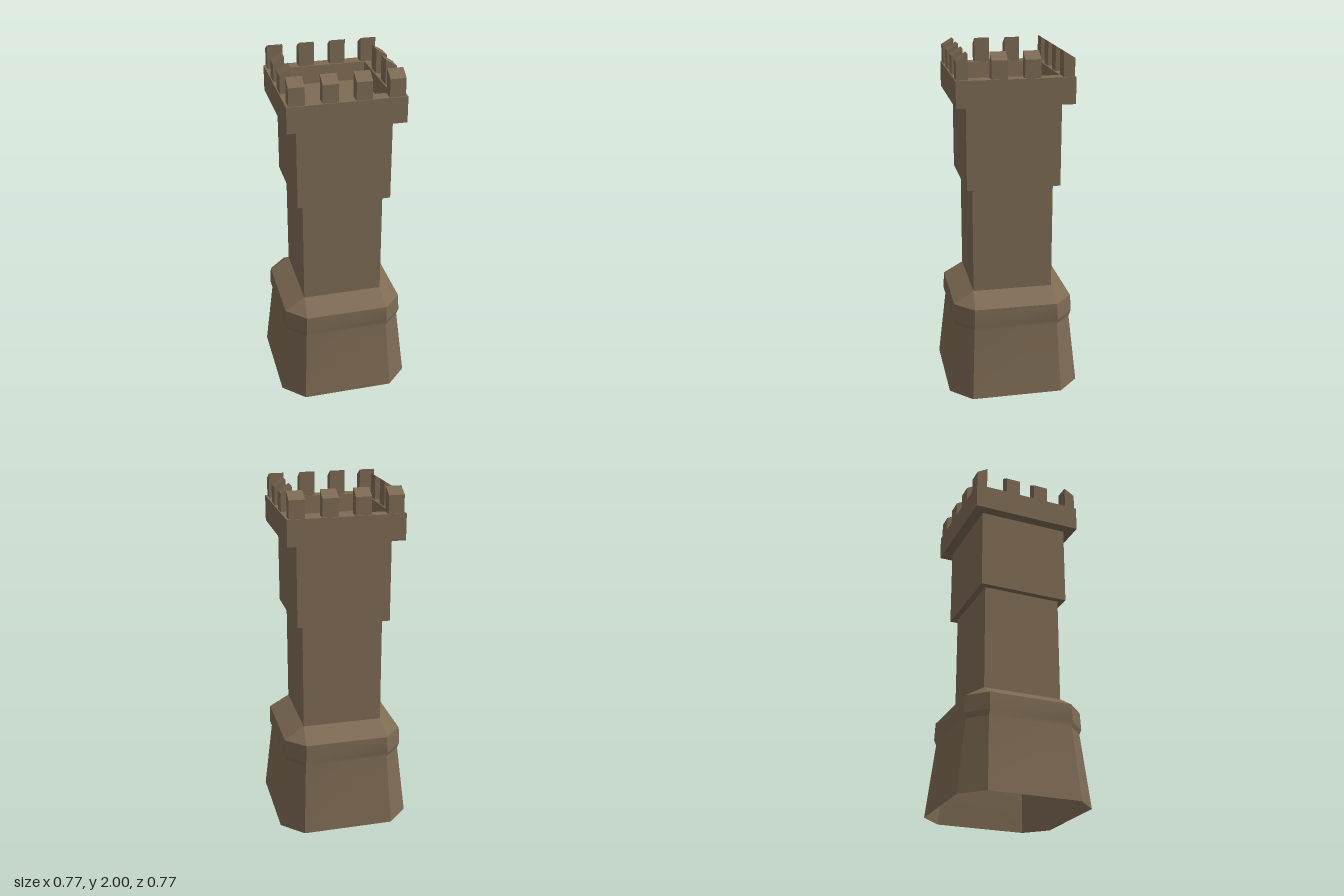
import * as THREE from 'three';

const stone = new THREE.MeshStandardMaterial({ color: 0x7e6b54, side: THREE.DoubleSide });
stone.name = 'brown stone';

const add = (group, name, geometry) => {
  const mesh = new THREE.Mesh(geometry, stone);
  mesh.name = name;
  group.add(mesh);
  return mesh;
};

// Square tier from [half width, height] pairs, with crisp faces
function squareTier(profile) {
  const points = profile.map(([h, y]) => new THREE.Vector2(h * Math.SQRT2, y));
  const geometry = new THREE.LatheGeometry(points, 4, Math.PI / 4).toNonIndexed();
  geometry.computeVertexNormals();
  return geometry;
}

// Strip of quads between two edge lines running upwards
function panel(left, right, smooth) {
  const geometry = new THREE.BufferGeometry();
  const positions = left.flatMap((p, i) => [...p, ...right[i]]);
  const index = [];
  for (let i = 0; i < left.length - 1; i++) {
    const a = i * 2;
    index.push(a, a + 1, a + 3, a, a + 3, a + 2);
  }
  geometry.setAttribute('position', new THREE.Float32BufferAttribute(positions, 3));
  geometry.setIndex(index);
  const result = smooth ? geometry : geometry.toNonIndexed();
  result.computeVertexNormals();
  return result;
}

export function createModel() {
  const tower = new THREE.Group();
  tower.name = 'tower';

  // Flared base, open below: [face distance, half width of face, height]
  const rows = [[0.385, 0.264, 0], [0.337, 0.243, 0.42], [0.35, 0.243, 0.45], [0.345, 0.24, 0.55]];
  const roof = [rows[3], [0.23, 0.23, 0.62]];
  const base = new THREE.Group();
  base.name = 'base';
  tower.add(base);
  const faceLeft = ([d, w, y]) => [-w, y, d];
  const faceRight = ([d, w, y]) => [w, y, d];
  const cornerFar = ([d, w, y]) => [d, y, w];
  for (let i = 0; i < 4; i++) {
    const side = new THREE.Group();
    side.name = 'baseSide';
    side.rotation.y = i * Math.PI / 2;
    base.add(side);
    add(side, 'baseWall', panel(rows.map(faceLeft), rows.map(faceRight), true));
    add(side, 'baseChamfer', panel(rows.map(faceRight), rows.map(cornerFar), false));
    add(side, 'baseSlope', panel(roof.map(faceLeft), roof.map(faceRight), false));
    add(side, 'baseCornerSlope', panel(roof.map(faceRight), roof.map(cornerFar), false));
  }

  // Stacked square tiers
  add(tower, 'shaft', squareTier([[0.23, 0.62], [0.23, 1.24]]));
  add(tower, 'upperBlock', squareTier([[0.23, 1.24], [0.265, 1.24], [0.265, 1.715]]));

  // Crown with sunken floor
  add(tower, 'crown', squareTier([
    [0.265, 1.715], [0.326, 1.715], [0.326, 1.862], [0.25, 1.862], [0.242, 1.76], [0, 1.76],
  ]));

  // Merlons with tops sloping down outwards
  const outline = new THREE.Shape([[0.258, 1.862], [0.32, 1.862], [0.32, 1.962], [0.258, 2]]
    .map(([x, y]) => new THREE.Vector2(x, y)));
  const width = 0.087;
  const merlon = new THREE.ExtrudeGeometry(outline, { depth: width, bevelEnabled: false });
  merlon.translate(0, 0, -width / 2).rotateY(-Math.PI / 2);
  for (let i = 0; i < 4; i++) {
    const row = new THREE.Group();
    row.name = 'merlonRow';
    row.rotation.y = i * Math.PI / 2;
    tower.add(row);
    const spots = i % 2 ? [-0.09, 0.09] : [-0.27, -0.09, 0.09, 0.27];
    for (const x of spots) add(row, 'merlon', merlon).position.x = x;
  }
  return tower;
}
